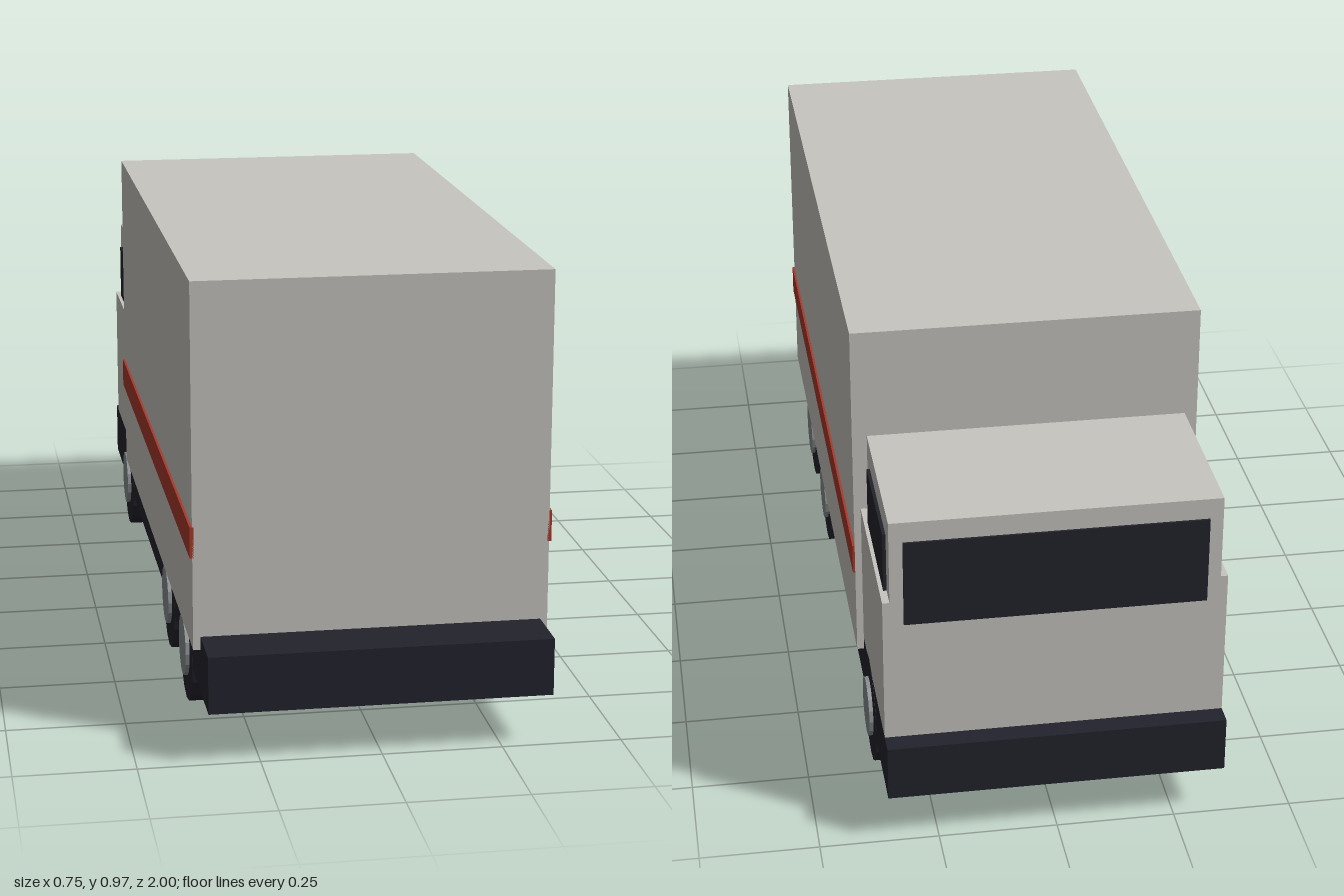
import * as THREE from 'three';

const paint = new THREE.MeshStandardMaterial({ color: 0xc8c6c0 });
paint.name = 'pale grey paint';
const dark = new THREE.MeshStandardMaterial({ color: 0x23232d, flatShading: true });
dark.name = 'near black';
const red = new THREE.MeshStandardMaterial({ color: 0xab3a2c });
red.name = 'stripe red';
const metal = new THREE.MeshStandardMaterial({ color: 0x8a8f92, flatShading: true });
metal.name = 'hub grey';

export function createModel() {
  const truck = new THREE.Group();
  truck.name = 'boxTruck';

  // Box given by its extents along each axis
  const box = (name, mat, [x0, x1], [y0, y1], [z0, z1]) => {
    const mesh = new THREE.Mesh(new THREE.BoxGeometry(x1 - x0, y1 - y0, z1 - z0), mat);
    mesh.position.set((x0 + x1) / 2, (y0 + y1) / 2, (z0 + z1) / 2);
    mesh.name = name;
    truck.add(mesh);
  };

  // Chassis, cargo body and two-step cab; the cab sits at the -z end
  box('chassis', dark, [-0.355, 0.355], [0.107, 0.228], [-1, 1]);
  box('cargoBox', paint, [-0.37, 0.37], [0.2, 0.968], [-0.57, 0.875]);
  box('cabLower', paint, [-0.355, 0.355], [0.228, 0.552], [-0.955, -0.57]);
  box('cabUpper', paint, [-0.34, 0.34], [0.552, 0.735], [-0.955, -0.585]);
  box('windscreen', dark, [-0.312, 0.312], [0.5, 0.69], [-0.96, -0.953]);

  // Axle-aligned cylinder
  const disc = (name, mat, radius, width, x, z) => {
    const geo = new THREE.CylinderGeometry(radius, radius, width, 16).rotateZ(Math.PI / 2);
    const mesh = new THREE.Mesh(geo, mat);
    mesh.position.set(x, 0.12, z);
    mesh.name = name;
    truck.add(mesh);
  };

  for (const [side, s] of [['left', 1], ['right', -1]]) {
    const span = (a, b) => (s > 0 ? [a, b] : [-b, -a]);
    box(side + 'Stripe', red, span(0.367, 0.375), [0.396, 0.462], [-0.57, 0.875]);
    box(side + 'Window', dark, span(0.338, 0.347), [0.552, 0.682], [-0.907, -0.632]);

    // Wheels: one axle under the cab, two under the cargo body
    [-0.675, 0.28, 0.617].forEach((z, i) => {
      disc(`${side}Tyre${i + 1}`, dark, 0.12, 0.091, s * 0.31, z);
      disc(`${side}Hub${i + 1}`, metal, 0.065, 0.1, s * 0.314, z);
    });
  }
  return truck;
}
